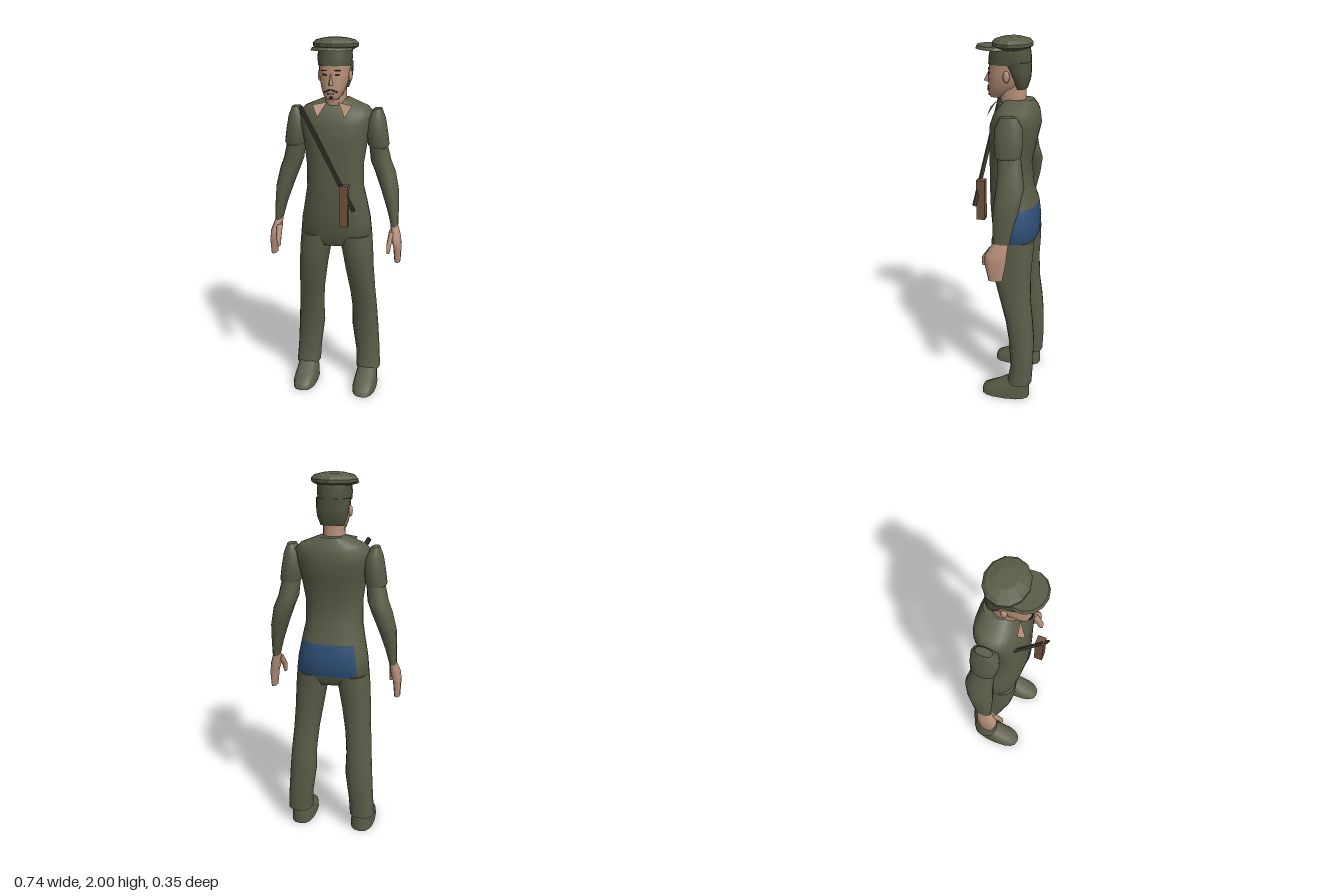
import * as THREE from 'three';

const mat = (name, color) => {
  const m = new THREE.MeshStandardMaterial({ color });
  m.name = name;
  return m;
};

// Closed skin through level rings [y, x0, x1, zFront, zBack], listed upwards.
// power squares off the ellipse; paint(row, column) picks the material group.
function loft(rings, { seg = 24, power = 2.4, paint = () => 0 } = {}) {
  const pos = [], groups = [[], []], n = seg;
  const point = ([y, x0, x1, zf, zb], j) => {
    const a = (j % n) / n * Math.PI * 2, s = Math.sin(a), c = Math.cos(a);
    const bend = v => Math.sign(v) * Math.pow(Math.abs(v), 2 / power);
    pos.push((x0 + x1) / 2 + (x1 - x0) / 2 * bend(s), y, (zf + zb) / 2 + (zf - zb) / 2 * bend(c));
  };
  rings.forEach(r => { for (let j = 0; j < n; j++) point(r, j); });
  for (let i = 0; i < rings.length - 1; i++) {
    for (let j = 0; j < n; j++) {
      const a = i * n + j, b = i * n + (j + 1) % n;
      groups[paint(i, j)].push(a, b, b + n, a, b + n, a + n);
    }
  }
  // End caps have their own corners so their rims stay sharp
  [rings[0], rings[rings.length - 1]].forEach((r, end) => {
    const c = pos.length / 3;
    pos.push((r[1] + r[2]) / 2, r[0], (r[3] + r[4]) / 2);
    for (let j = 0; j < n; j++) point(r, j);
    for (let j = 0; j < n; j++) {
      const a = c + 1 + j, b = c + 1 + (j + 1) % n;
      groups[0].push(c, ...(end ? [a, b] : [b, a]));
    }
  });
  const g = new THREE.BufferGeometry();
  g.setAttribute('position', new THREE.Float32BufferAttribute(pos, 3));
  g.setIndex([...groups[0], ...groups[1]]);
  g.addGroup(0, groups[0].length, 0);
  if (groups[1].length) g.addGroup(groups[0].length, groups[1].length, 1);
  g.computeVertexNormals();
  return g;
}

// Rings centred on x = 0 from [y, halfWidth, zFront, zBack]
const centred = rows => rows.map(([y, w, f, b]) => [y, -w, w, f, b]);
// Rings moved to the chosen side of the body
const onSide = (s, rows) => rows.map(([y, a, b, f, k]) => s > 0 ? [y, a, b, f, k] : [y, -b, -a, f, k]);

function triangles(points) {
  const g = new THREE.BufferGeometry();
  g.setAttribute('position', new THREE.Float32BufferAttribute(points.flat(), 3));
  g.computeVertexNormals();
  return g;
}

export function createModel() {
  const green = mat('uniformGreen', 0x5a5e48);
  const skin = mat('skin', 0xb8917a);
  const blue = mat('seatBlue', 0x2f5078);
  const brown = mat('leatherBrown', 0x71533f);
  const dark = mat('strapDark', 0x3b3f31);
  const hairMat = mat('hairOlive', 0x50543f);
  const black = mat('whiskerBlack', 0x2a211d);
  const collarSkin = mat('collarSkin', 0xb8917a);
  collarSkin.side = THREE.DoubleSide;

  const model = new THREE.Group();
  const add = (name, geo, material, x = 0, y = 0, z = 0) => {
    const m = new THREE.Mesh(geo, material);
    m.name = name;
    m.position.set(x, y, z);
    model.add(m);
    return m;
  };

  // Torso, with the blue patch wrapped round the seat
  add('torso', loft(centred([
    [0.89, 0.15, 0.05, -0.13], [0.95, 0.2, 0.076, -0.166], [1.04, 0.19, 0.088, -0.17],
    [1.13, 0.172, 0.097, -0.16], [1.22, 0.155, 0.1, -0.128], [1.35, 0.155, 0.1, -0.118],
    [1.47, 0.172, 0.102, -0.145], [1.56, 0.19, 0.095, -0.165], [1.62, 0.2, 0.072, -0.155],
    [1.65, 0.17, 0.05, -0.145], [1.69, 0.07, 0.02, -0.13],
  ]), { paint: (i, j) => (i === 1 || i === 2) && j >= 6 && j < 15 ? 1 : 0 }), [green, blue]);

  // Neck and head
  add('neck', loft(centred([
    [1.63, 0.06, 0.04, -0.09], [1.68, 0.055, 0.045, -0.088], [1.78, 0.055, 0.055, -0.088],
  ])), skin);
  add('head', loft(centred([
    [1.695, 0.03, 0.1, 0.035], [1.715, 0.047, 0.11, -0.01], [1.75, 0.062, 0.11, -0.06],
    [1.79, 0.073, 0.108, -0.09], [1.84, 0.078, 0.106, -0.1], [1.93, 0.08, 0.098, -0.1],
  ])), skin);
  add('hairTop', loft(centred([
    [1.865, 0.084, 0.108, -0.11], [1.9, 0.088, 0.106, -0.113], [1.95, 0.085, 0.095, -0.105],
  ])), hairMat);
  add('hairBack', loft(centred([
    [1.745, 0.06, -0.04, -0.093], [1.79, 0.078, -0.02, -0.108],
    [1.83, 0.084, 0.005, -0.112], [1.88, 0.087, 0.04, -0.113],
  ])), hairMat);

  // Nose as a four-sided wedge
  const tip = [0, 1.775, 0.137], bridge = [0, 1.835, 0.105];
  const nl = [0.016, 1.768, 0.1], nr = [-0.016, 1.768, 0.1];
  add('nose', triangles([bridge, tip, nl, bridge, nr, tip, tip, nr, nl]), skin);

  // Mouth and whiskers
  add('mouth', new THREE.BoxGeometry(0.034, 0.006, 0.008), black, 0, 1.728, 0.109);
  add('goatee', new THREE.BoxGeometry(0.018, 0.012, 0.008), black, 0, 1.708, 0.106);

  // Cap: faceted crown and rounded peak
  const crown = new THREE.LatheGeometry([
    [0, 1.92], [0.088, 1.92], [0.09, 1.94], [0.121, 1.957], [0.122, 1.972], [0.105, 1.988], [0.055, 2], [0, 2],
  ].map(p => new THREE.Vector2(...p)), 12).toNonIndexed();
  crown.computeVertexNormals();
  add('capCrown', crown, green, 0, 0, -0.016).scale.z = 0.87;
  const peak = new THREE.CylinderGeometry(0.1, 0.108, 0.016, 14).toNonIndexed();
  peak.computeVertexNormals();
  const visor = add('capPeak', peak, green, 0, 1.947, 0.078);
  visor.scale.z = 0.9;
  visor.rotation.x = -0.04;

  for (const s of [1, -1]) {
    const side = s > 0 ? 'left' : 'right';
    const limb = (part, rows, material, opts) => add(side + part, loft(onSide(s, rows), opts), material);

    // Face details
    add(side + 'Ear', new THREE.SphereGeometry(1, 10, 8), skin, s * 0.081, 1.81, 0.0).scale.set(0.011, 0.03, 0.018);
    add(side + 'Eye', new THREE.BoxGeometry(0.022, 0.009, 0.008), black, s * 0.032, 1.822, 0.101).rotation.y = s * 0.25;
    add(side + 'Brow', new THREE.BoxGeometry(0.032, 0.005, 0.008), black, s * 0.034, 1.843, 0.1).rotation.y = s * 0.25;
    const whisker = add(side + 'Moustache', new THREE.BoxGeometry(0.034, 0.009, 0.008), black, s * 0.019, 1.742, 0.107);
    whisker.rotation.set(0, s * 0.25, -s * 0.4);

    // Open collar tips
    add(side + 'CollarTip', triangles([
      [s * 0.03, 1.68, 0.06], [s * 0.105, 1.665, 0.075], [s * 0.072, 1.605, 0.104],
    ]), collarSkin);

    // Sleeve: fuller upper part over a slimmer forearm
    limb('UpperSleeve', [
      [1.435, 0.185, 0.275, 0.015, -0.1], [1.45, 0.172, 0.285, 0.026, -0.112],
      [1.52, 0.165, 0.275, 0.032, -0.116], [1.59, 0.17, 0.262, 0.028, -0.112], [1.642, 0.2, 0.243, 0.0, -0.085],
    ], green, { seg: 14 });
    limb('LowerSleeve', [
      [1.01, 0.308, 0.346, 0.015, -0.07], [1.1, 0.284, 0.346, 0.02, -0.09], [1.2, 0.25, 0.342, 0.02, -0.116],
      [1.3, 0.212, 0.32, 0.01, -0.134], [1.36, 0.188, 0.296, 0.01, -0.12], [1.46, 0.178, 0.272, 0.015, -0.105],
    ], green, { seg: 14 });

    // Hand and thumb
    limb('Hand', [
      [0.812, 0.336, 0.368, 0.035, -0.038], [0.9, 0.328, 0.371, 0.055, -0.056],
      [0.95, 0.312, 0.366, 0.055, -0.06], [1.015, 0.307, 0.345, 0.012, -0.065],
    ], skin, { seg: 10 });
    limb('Thumb', [
      [0.875, 0.298, 0.315, 0.078, 0.05], [0.92, 0.296, 0.322, 0.08, 0.035], [0.985, 0.302, 0.335, 0.035, -0.03],
    ], skin, { seg: 8 });

    // Trouser leg and shoe
    limb('Leg', [
      [0.095, 0.113, 0.252, -0.03, -0.168], [0.2, 0.108, 0.246, -0.048, -0.173], [0.36, 0.086, 0.236, -0.035, -0.174],
      [0.48, 0.088, 0.228, -0.015, -0.165], [0.6, 0.078, 0.219, 0.018, -0.151], [0.75, 0.055, 0.21, 0.06, -0.148],
      [0.86, 0.036, 0.205, 0.072, -0.156], [0.95, 0.015, 0.198, 0.073, -0.16],
    ], green, { seg: 18 });
    limb('Shoe', [
      [0, 0.11, 0.246, 0.122, -0.156], [0.035, 0.112, 0.244, 0.115, -0.156],
      [0.065, 0.118, 0.24, 0.045, -0.154], [0.11, 0.13, 0.234, -0.03, -0.15],
    ], green, { seg: 16, power: 2.6 });
  }

  // Shoulder strap and the case hanging from it
  const from = new THREE.Vector3(-0.165, 1.655, 0.09), to = new THREE.Vector3(0.135, 1.13, 0.163);
  const along = to.clone().sub(from);
  const strap = add('strap', new THREE.BoxGeometry(0.024, along.length(), 0.009), dark);
  strap.position.copy(from).add(to).multiplyScalar(0.5);
  strap.quaternion.setFromUnitVectors(new THREE.Vector3(0, 1, 0), along.normalize());
  add('case', new THREE.BoxGeometry(0.046, 0.222, 0.046), brown, 0.078, 1.15, 0.138);

  return model;
}
